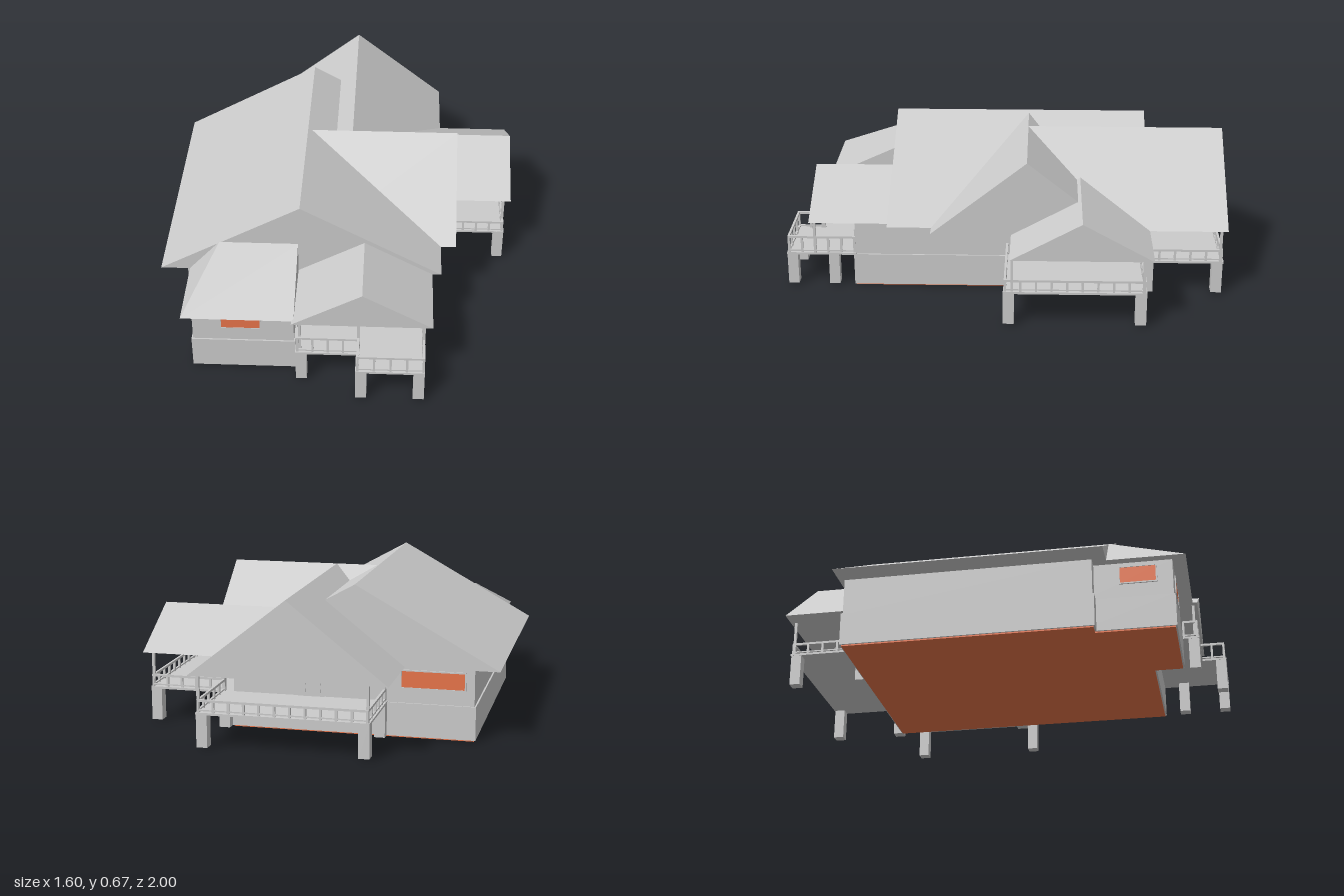
import * as THREE from 'three';

const grey = new THREE.MeshStandardMaterial({ color: 0xcccccc, flatShading: true });
const orange = new THREE.MeshStandardMaterial({ color: 0xe8744a, flatShading: true });

export function createModel() {
  const house = new THREE.Group();
  house.name = 'house';

  const add = (name, geometry, material = grey, parent = house) => {
    const mesh = new THREE.Mesh(geometry, material);
    mesh.name = name;
    parent.add(mesh);
    return mesh;
  };
  // box given by its limits on each axis
  const box = (name, x0, x1, y0, y1, z0, z1, material = grey, parent = house) => {
    const mesh = add(name, new THREE.BoxGeometry(x1 - x0, y1 - y0, z1 - z0), material, parent);
    mesh.position.set((x0 + x1) / 2, (y0 + y1) / 2, (z0 + z1) / 2);
    return mesh;
  };
  const EAVE = 0.32, DECK = 0.16;

  // closed gable roof; c0..c1 is the span, e0..e1 the run of the ridge
  const gable = (name, c0, c1, e0, e1, top, alongX = false) => {
    const s = new THREE.Shape();
    const mid = (c0 + c1) / 2;
    // for a ridge along x the section is drawn over -z, then turned
    const k = alongX ? -1 : 1;
    s.moveTo(k * c0, EAVE);
    s.lineTo(k * c1, EAVE);
    s.lineTo(k * mid, top);
    s.closePath();
    const g = new THREE.ExtrudeGeometry(s, { depth: e1 - e0, bevelEnabled: false });
    g.translate(0, 0, e0);
    if (alongX) g.rotateY(Math.PI / 2);
    add(name, g);
  };

  // Roofs
  gable('mainRoof', -0.8, 0.46, -0.65, 0.53, 0.67);
  gable('backRoof', -0.39, 0.47, -1.0, -0.1, 0.66);
  gable('crossRoof', -0.53, 0.33, -0.15, 0.53, 0.66, true);
  gable('sidePorchRoof', -0.65, -0.03, 0.2, 0.8, 0.49, true);
  gable('frontPorchRoof', -0.19, 0.42, 0.5, 0.89, 0.49);

  // Half-hipped roof over the front wing
  const hip = new THREE.BufferGeometry();
  hip.setAttribute('position', new THREE.Float32BufferAttribute([
    -0.67, 0.32, 0.87, -0.18, 0.32, 0.87, -0.18, 0.32, 0.53,
    -0.67, 0.32, 0.53, -0.53, 0.475, 0.53, -0.18, 0.475, 0.53], 3));
  hip.setIndex([0, 1, 5, 0, 5, 4, 3, 0, 4, 1, 2, 5, 3, 2, 1, 3, 1, 0, 2, 3, 4, 2, 4, 5]);
  const hipFlat = hip.toNonIndexed();
  hipFlat.computeVertexNormals();
  add('frontWingRoof', hipFlat);

  // Walls: a plinth a little wider than the storey above, over a coloured floor
  const blocks = [
    ['main', -0.69, 0.385, -0.625, 0.47],
    ['frontWing', -0.63, -0.185, 0.4, 0.81],
    ['frontRoom', -0.19, 0.385, 0.4, 0.685],
  ];
  for (const [name, x0, x1, z0, z1] of blocks) {
    box(name + 'Plinth', x0 - 0.007, x1 + 0.007, 0.006, 0.155, z0 - 0.007, z1 + 0.007);
    box(name + 'Wall', x0, x1, 0.15, EAVE, z0, z1);
    box(name + 'Floor', x0, x1, 0, 0.007, z0, z1, orange);
  }

  // Windows
  const frame = (name, x0, x1, z0, z1, alongX) => {
    const y0 = 0.222, y1 = 0.3, t = 0.006;
    box(name, x0, x1, y0, y1, z0, z1, orange);
    for (const y of [y0, y1]) box(name + 'Rail', x0 - 0.002, x1 + 0.002, y - t / 2, y + t / 2, z0 - 0.002, z1 + 0.002);
    for (const e of [0, 1]) {
      if (alongX) {
        const x = e ? x1 : x0;
        box(name + 'Stile', x - t / 2, x + t / 2, y0, y1, z0 - 0.002, z1 + 0.002);
      } else {
        const z = e ? z1 : z0;
        box(name + 'Stile', x0 - 0.002, x1 + 0.002, y0, y1, z - t / 2, z + t / 2);
      }
    }
  };
  frame('frontWindow', -0.505, -0.33, 0.805, 0.813, true);
  frame('backWindow', -0.65, -0.37, -0.629, -0.62, true);
  frame('wingWindow', -0.634, -0.625, 0.58, 0.74, false);

  // Arched panel doors
  const door = (name, x, z, turn) => {
    const g = new THREE.Group();
    g.name = name;
    const w = 0.06, s = new THREE.Shape();
    s.moveTo(-w, 0);
    s.lineTo(w, 0);
    s.lineTo(w, 0.11);
    s.quadraticCurveTo(0, 0.15, -w, 0.11);
    s.closePath();
    add(name + 'Leaf', new THREE.ExtrudeGeometry(s, { depth: 0.006, bevelEnabled: false, curveSegments: 6 }), grey, g);
    for (let i = -1; i <= 1; i++) for (let j = 0; j < 3; j++) {
      const y = 0.025 + j * 0.035;
      box(name + 'Panel', i * 0.035 - 0.009, i * 0.035 + 0.009, y - 0.008, y + 0.008, 0.004, 0.008, grey, g);
    }
    g.position.set(x, DECK, z);
    g.rotation.y = turn;
    house.add(g);
  };
  door('frontDoor', 0.315, 0.685, 0);
  door('sideDoor', 0.385, -0.13, Math.PI / 2);
  door('backDoor', 0.03, -0.625, Math.PI);

  // Decks
  box('frontDeck', -0.175, 0.39, 0.15, DECK, 0.68, 0.89);
  box('frontBalcony', 0.09, 0.39, 0.15, DECK, 0.88, 1.0);
  box('sideDeck', 0.38, 0.775, 0.15, DECK, -0.625, -0.002);
  box('backDeck', -0.31, 0.44, 0.15, DECK, -0.99, -0.62);

  // Square piers under the decks
  const piers = [
    [-0.15, 0.865], [0.115, 0.975], [0.365, 0.975], [0.365, 0.785],
    [0.415, -0.025], [0.75, -0.025], [0.75, -0.6],
    [0.415, -0.65], [0.415, -0.962], [-0.285, -0.962], [-0.285, -0.65],
  ];
  for (const [x, z] of piers) box('pier', x - 0.024, x + 0.024, 0.006, DECK - 0.003, z - 0.024, z + 0.024);

  // Slim posts carrying the porch roofs
  const posts = [
    [-0.155, 0.87], [0.1, 0.87], [0.383, 0.87], [0.765, -0.04], [0.765, -0.61],
    [0.43, -0.63], [0.43, -0.975], [-0.3, -0.975], [-0.3, -0.64],
  ];
  for (const [x, z] of posts) box('roofPost', x - 0.006, x + 0.006, DECK, EAVE, z - 0.006, z + 0.006);

  // Railing along a path of corner points
  const railing = (name, path, top) => {
    const t = 0.005;
    for (let i = 0; i + 1 < path.length; i++) {
      const [ax, az] = path[i], [bx, bz] = path[i + 1];
      const x0 = Math.min(ax, bx) - t, x1 = Math.max(ax, bx) + t;
      const z0 = Math.min(az, bz) - t, z1 = Math.max(az, bz) + t;
      box(name + 'TopRail', x0, x1, top - 0.01, top, z0, z1);
      box(name + 'BottomRail', x0, x1, DECK + 0.006, DECK + 0.012, z0, z1);
      const n = Math.max(1, Math.round(Math.hypot(bx - ax, bz - az) / 0.065));
      for (let k = 0; k <= n; k++) {
        const x = ax + (bx - ax) * k / n, z = az + (bz - az) * k / n;
        box(name + 'Baluster', x - t, x + t, DECK, top, z - t, z + t);
      }
    }
  };
  railing('frontRailing', [[-0.165, 0.82], [-0.165, 0.88], [0.1, 0.88], [0.1, 0.99], [0.383, 0.99], [0.383, 0.69]], 0.24);
  railing('sideRailing', [[0.39, -0.01], [0.766, -0.01], [0.766, -0.615], [0.43, -0.615]], 0.215);
  railing('backRailing', [[0.43, -0.63], [0.43, -0.98], [-0.3, -0.98], [-0.3, -0.63]], 0.215);

  return house;
}
